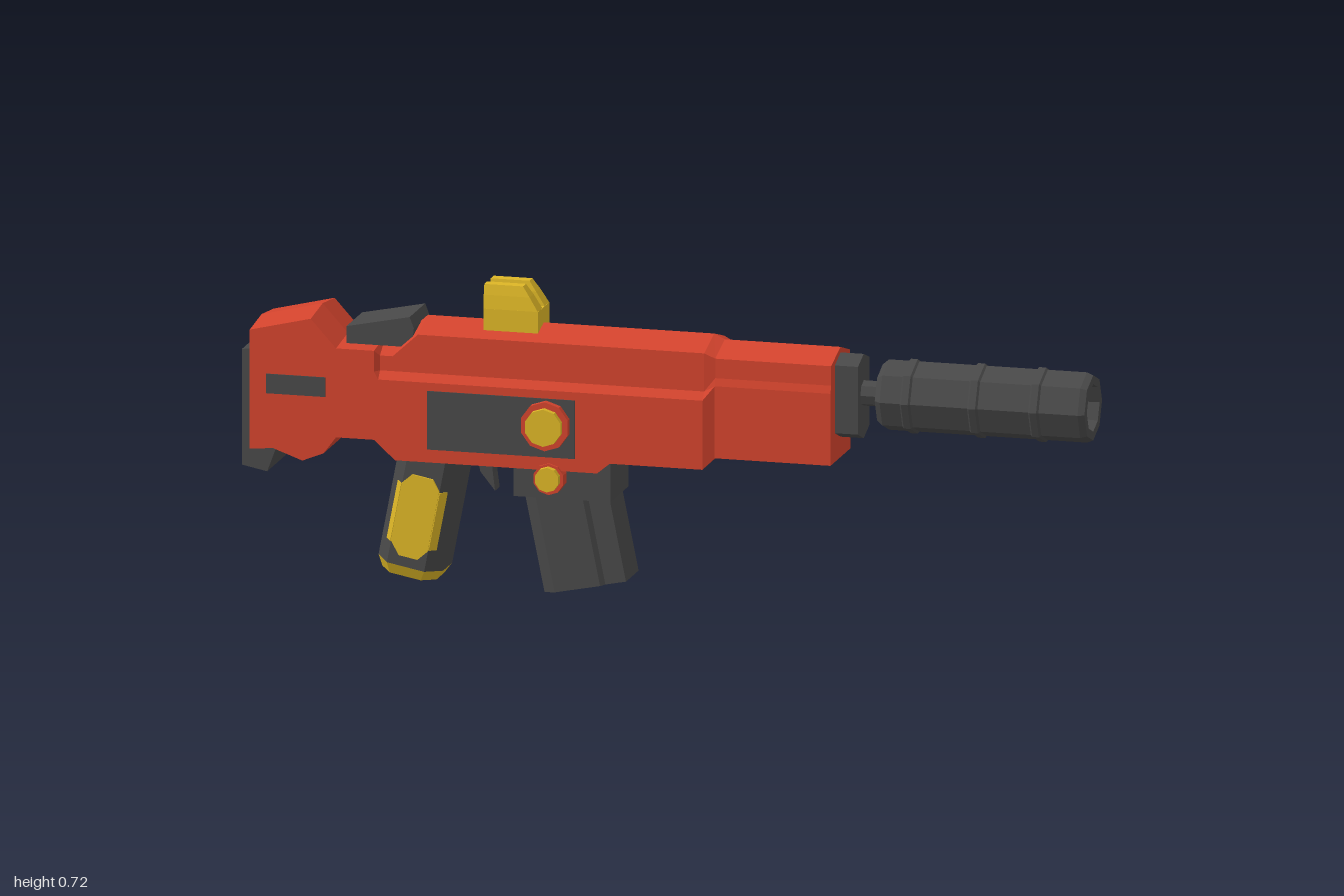
import * as THREE from 'three';

const mat = (name, color, side = THREE.FrontSide) => {
  const m = new THREE.MeshStandardMaterial({ color, flatShading: true, side });
  m.name = name;
  return m;
};

// Skin between rings of [x, y, z] points, closed by a fan at both ends
function loft(rings) {
  const pos = [], n = rings[0].length, last = rings.length - 1;
  const tri = (...p) => p.forEach(v => pos.push(...v));
  for (let r = 0; r < last; r++) {
    for (let i = 0; i < n; i++) {
      const j = (i + 1) % n, a = rings[r], b = rings[r + 1];
      tri(a[i], a[j], b[j]);
      tri(a[i], b[j], b[i]);
    }
  }
  const middle = ring => [0, 1, 2].map(k => ring.reduce((s, p) => s + p[k], 0) / n);
  for (let i = 0; i < n; i++) {
    const j = (i + 1) % n, a = rings[0], b = rings[last];
    tri(middle(a), a[j], a[i]);
    tri(middle(b), b[i], b[j]);
  }
  const g = new THREE.BufferGeometry();
  g.setAttribute('position', new THREE.Float32BufferAttribute(pos, 3));
  g.computeVertexNormals();
  return g;
}

// Side profile in x, y extruded symmetrically, or from z0 to z1
function plate(points, z0, z1) {
  const shape = new THREE.Shape(points.map(p => new THREE.Vector2(...p)));
  return new THREE.ExtrudeGeometry(shape, { depth: z1 - z0, bevelEnabled: false }).translate(0, 0, z0);
}

// Height along a polyline at x
function along(line, x) {
  const i = Math.max(1, line.findIndex(p => p[0] >= x));
  const [a, b] = [line[i - 1], line[i]];
  return a[1] + (b[1] - a[1]) * (x - a[0]) / (b[0] - a[0]);
}

export function createModel() {
  const model = new THREE.Group();
  const red = mat('red shell', 0xd2432d);
  const grey = mat('dark grey', 0x484848);
  const yellow = mat('yellow accent', 0xdcb526);
  const add = (name, geo, material, parent = model) => {
    const mesh = new THREE.Mesh(geo, material);
    mesh.name = name;
    parent.add(mesh);
    return mesh;
  };

  // Stock, receiver and fore end as one shell
  const top = [[-0.975, 0.608], [-0.83, 0.643], [-0.77, 0.577], [-0.64, 0.577],
    [-0.58, 0.632], [0.1, 0.632], [0.125, 0.62], [0.4, 0.62]];
  const bottom = [[-0.975, 0.315], [-0.92, 0.32], [-0.85, 0.295], [-0.8, 0.315], [-0.77, 0.355],
    [-0.68, 0.355], [-0.63, 0.31], [-0.15, 0.31], [-0.12, 0.335], [0.1, 0.335], [0.125, 0.36], [0.4, 0.36]];
  const stations = [...new Set([...top, ...bottom].map(p => p[0]).concat(-0.67))].sort((a, b) => a - b);
  add('body', loft(stations.map(x => {
    const t = along(top, x), b = along(bottom, x);
    const stock = x < -0.675, fore = x > 0.11;
    const wide = fore ? 0.088 : 0.104, narrow = stock ? 0.104 : fore ? 0.083 : 0.088;
    const step = fore ? 0.53 : 0.498, shoulder = t - (stock ? 0.012 : 0.026);
    const half = [[shoulder, narrow], [step + 0.018, narrow], [step, wide], [b, wide]];
    return [[x, t, 0], ...half.map(([y, z]) => [x, y, z]),
      ...half.reverse().map(([y, z]) => [x, y, -z])];
  })), red);

  // Butt pad with toe, and cheek rest
  add('buttPad', plate([[-1, 0.27], [-0.94, 0.258], [-0.915, 0.325], [-0.965, 0.33],
    [-0.965, 0.548], [-1, 0.543]], -0.08, 0.08), grey);
  add('cheekRest', plate([[-0.755, 0.57], [-0.6, 0.57], [-0.595, 0.615], [-0.605, 0.641],
    [-0.755, 0.61]], -0.068, 0.068), grey);

  // Rear sight: base and two tapered prongs
  const sight = new THREE.Group();
  sight.name = 'sight';
  model.add(sight);
  add('sightBase', new THREE.BoxGeometry(0.13, 0.06, 0.1).translate(-0.37, 0.638, 0), yellow, sight);
  for (const s of [-1, 1]) {
    const ring = (y, x1, inner, outer) => {
      const z = [s * inner, s * outer].sort((a, b) => a - b);
      return [[-0.435, y, z[0]], [-0.435, y, z[1]], [x1, y, z[1]], [x1, y, z[0]]];
    };
    add('sightProng', loft([ring(0.667, -0.305, 0.01, 0.05), ring(0.7, -0.326, 0.011, 0.046),
      ring(0.724, -0.343, 0.015, 0.041)]), yellow, sight);
  }

  // Details mirrored on both sides
  for (const s of [-1, 1]) {
    const face = (name, w, h, x, y) =>
      add(name, new THREE.BoxGeometry(w, h, 0.006).translate(x, y, s * 0.1035), grey);
    face('stockSlot', 0.14, 0.046, -0.865, 0.472);
    face('sidePanel', 0.35, 0.138, -0.378, 0.41);
    const disc = (name, r, z0, z1, x, y, m) => add(name, new THREE.CylinderGeometry(r, r, z1 - z0, 10)
      .rotateX(Math.PI / 2).translate(x, y, s * (z0 + z1) / 2), m);
    disc('knobRing', 0.058, 0.09, 0.123, -0.27, 0.417, red);
    disc('knobCap', 0.044, 0.12, 0.138, -0.27, 0.417, yellow);
    disc('pinRing', 0.037, 0.07, 0.11, -0.264, 0.29, red);
    disc('pinCap', 0.029, 0.105, 0.126, -0.264, 0.292, yellow);
  }

  // Muzzle block and barrel
  const block = [[0.607, 0], [0.588, 0.05], [0.428, 0.05], [0.408, 0], [0.428, -0.05], [0.588, -0.05]];
  add('muzzleBlock', loft([0.39, 0.455].map(x => block.map(([y, z]) => [x, y, z]))), grey);
  const turned = points => new THREE.LatheGeometry(points.map(p => new THREE.Vector2(...p)), 8)
    .rotateZ(-Math.PI / 2).translate(0, 0.515, 0);
  add('barrel', new THREE.CylinderGeometry(0.03, 0.03, 0.1, 8)
    .rotateZ(-Math.PI / 2).translate(0.485, 0.515, 0), grey);

  // Hollow octagonal suppressor with three bands
  add('suppressor', turned([[0, 0.5], [0.07, 0.5], [0.083, 0.515], [0.083, 0.985], [0.077, 1],
    [0.056, 1], [0.05, 0.93], [0, 0.93]]), grey);
  for (const x of [0.575, 0.735, 0.88]) {
    add('suppressorBand', turned([[0.08, x - 0.015], [0.088, x - 0.008], [0.088, x + 0.008],
      [0.08, x + 0.015]]), grey);
  }

  // Magazine well and ribbed magazine
  add('magazineWell', new THREE.BoxGeometry(0.23, 0.1, 0.16).translate(-0.24, 0.288, 0), grey);
  const magHalf = [[0.1, 0.055], [0.05, 0.055], [0.04, 0.065], [-0.07, 0.065], [-0.1, 0.045]];
  const magRing = [...magHalf, ...magHalf.map(([x, z]) => [x, -z]).reverse()];
  const magazine = add('magazine', loft([0.02, -0.238].map(y => magRing.map(([x, z]) => [x, y, z]))), grey);
  magazine.position.set(-0.24, 0.26, 0);
  magazine.rotation.z = 0.2;

  // Octagonal pistol grip with yellow side panels and base
  const grip = new THREE.Group();
  grip.name = 'grip';
  grip.position.set(-0.557, 0.33, 0);
  grip.rotation.z = -0.19;
  model.add(grip);
  const octagon = [[0.078, -0.04], [0.078, 0.04], [0.045, 0.086], [-0.045, 0.086],
    [-0.078, 0.04], [-0.078, -0.04], [-0.045, -0.086], [0.045, -0.086]];
  const gripRing = (y, s) => octagon.map(([x, z]) => [x * s, y, z * s]);
  add('gripBody', loft([gripRing(0.02, 1), gripRing(-0.28, 1)]), grey, grip);
  add('gripBase', loft([gripRing(-0.28, 1), gripRing(-0.306, 0.84)]), yellow, grip);
  const panel = [[-0.045, -0.225], [-0.02, -0.255], [0.025, -0.255], [0.045, -0.23],
    [0.045, -0.085], [0.025, -0.06], [-0.025, -0.06], [-0.045, -0.085]];
  // Panels wrap onto the neighbouring bevels
  const bevel = Math.atan2(0.033, 0.046);
  for (const s of [-1, 1]) {
    add('gripPanel', plate(panel, s * 0.088 - 0.003, s * 0.088 + 0.003), yellow, grip);
    for (const e of [-1, 1]) {
      const strip = add('gripPanelEdge', new THREE.BoxGeometry(0.005, 0.14, 0.024), yellow, grip);
      strip.position.set(e * 0.0515, -0.158, s * 0.077);
      strip.rotation.y = -e * s * bevel;
    }
  }

  // Curved trigger
  add('trigger', plate([[-0.46, 0.32], [-0.45, 0.275], [-0.415, 0.232], [-0.42, 0.27],
    [-0.425, 0.32]], -0.02, 0.02), grey);

  return model;
}
